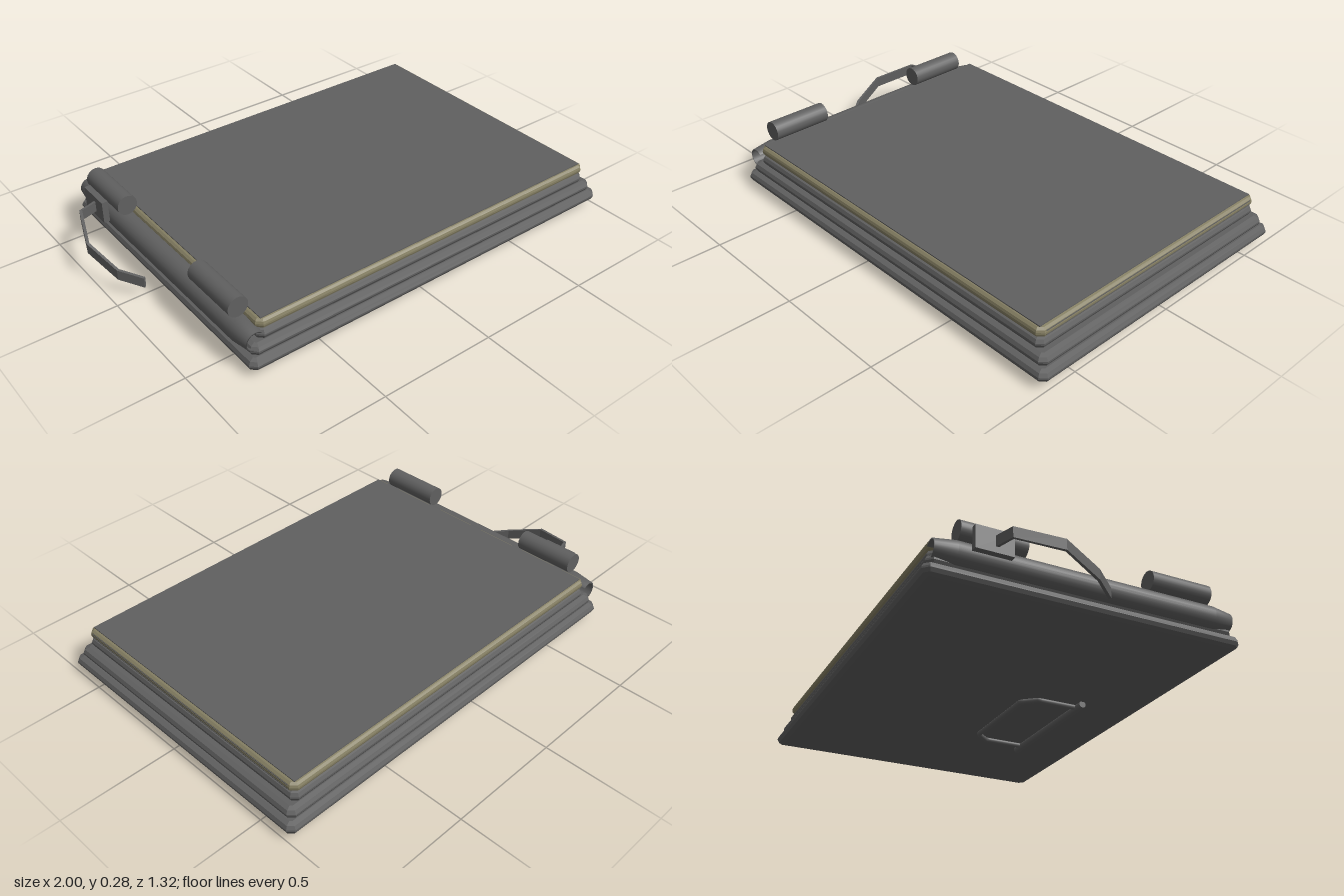
import * as THREE from 'three';

const grey = new THREE.MeshStandardMaterial({ color: 0x606060 });
grey.name = 'leather grey';
grey.side = THREE.DoubleSide;
const olive = new THREE.MeshStandardMaterial({ color: 0x857f63 });
olive.name = 'page olive';

function add(group, name, geometry, material, x = 0, y = 0, z = 0) {
  const mesh = new THREE.Mesh(geometry, material);
  mesh.name = name;
  mesh.position.set(x, y, z);
  group.add(mesh);
  return mesh;
}

// Flat slab with bevelled rim and clipped corners, from y0 to y1
function slab(x0, x1, halfZ, y0, y1, bevel, segments) {
  const cx = (x0 + x1) / 2, w = (x1 - x0) / 2 - bevel, d = halfZ - bevel, c = 0.008;
  const shape = new THREE.Shape([
    [-w + c, -d], [w - c, -d], [w, -d + c], [w, d - c],
    [w - c, d], [-w + c, d], [-w, d - c], [-w, -d + c],
  ].map(([x, y]) => new THREE.Vector2(x, y)));
  const t = (y1 - y0) * 0.42;
  const g = new THREE.ExtrudeGeometry(shape, {
    depth: y1 - y0 - 2 * t, bevelEnabled: true, bevelThickness: t, bevelSize: bevel, bevelSegments: segments,
  });
  return g.rotateX(-Math.PI / 2).translate(cx, y0 + t, 0);
}

// Upright ribbon following [x, y, z] points
function ribbon(points, height, thickness) {
  const pos = [], index = [], n = points.length;
  points.forEach(([x, y, z], i) => {
    const a = points[Math.max(i - 1, 0)], b = points[Math.min(i + 1, n - 1)];
    const dx = b[0] - a[0], dz = b[2] - a[2], l = Math.hypot(dx, dz);
    const nx = (-dz / l) * thickness / 2, nz = (dx / l) * thickness / 2, h = height / 2;
    for (const [s, v] of [[1, -h], [1, h], [-1, h], [-1, -h]]) pos.push(x + s * nx, y + v, z + s * nz);
  });
  for (let i = 0; i < n - 1; i++) {
    for (let k = 0; k < 4; k++) {
      const a = i * 4 + k, b = i * 4 + (k + 1) % 4;
      index.push(a, b, b + 4, a, b + 4, a + 4);
    }
  }
  const e = (n - 1) * 4;
  index.push(0, 2, 1, 0, 3, 2, e, e + 1, e + 2, e, e + 2, e + 3);
  const g = new THREE.BufferGeometry();
  g.setAttribute('position', new THREE.Float32BufferAttribute(pos, 3));
  g.setIndex(index);
  const flat = g.toNonIndexed();
  flat.computeVertexNormals();
  return flat;
}

export function createModel() {
  const model = new THREE.Group();
  model.name = 'album';

  // Stacked slabs, stepping inwards
  add(model, 'baseCover', slab(-0.82, 1.0, 0.66, 0.028, 0.076, 0.026, 2), grey);
  add(model, 'lowerLayer', slab(-0.8, 0.978, 0.64, 0.074, 0.121, 0.026, 2), grey);
  add(model, 'middleLayer', slab(-0.76, 0.942, 0.62, 0.119, 0.166, 0.024, 2), grey);
  add(model, 'pageBlock', slab(-0.76, 0.94, 0.617, 0.164, 0.209, 0.024, 3), olive);
  add(model, 'topCover', new THREE.BoxGeometry(1.66, 0.005, 1.2), grey, 0.09, 0.2095, 0);

  // Dark page lines on the open side
  for (const y of [0.178, 0.187, 0.196]) {
    add(model, 'pageLine', new THREE.BoxGeometry(0.008, 0.003, 1.17), grey, 0.936, y, 0);
  }

  // Hollow spine, open towards the pages, narrowed at both ends
  const profile = [
    [0.036, -0.625], [0.041, -0.625], [0.053, -0.54], [0.053, 0.54],
    [0.041, 0.625], [0.036, 0.625], [0.042, 0.54], [0.042, -0.54], [0.036, -0.625],
  ].map(([r, y]) => new THREE.Vector2(r, y));
  const spine = new THREE.LatheGeometry(profile, 20, Math.PI * 0.75, Math.PI * 1.5);
  spine.rotateX(Math.PI / 2);
  add(model, 'spine', spine, grey, -0.78, 0.14, 0);

  // Hinge barrels
  for (const side of [-1, 1]) {
    const barrel = new THREE.CylinderGeometry(0.043, 0.043, 0.266, 24).rotateX(Math.PI / 2);
    add(model, 'hingeBarrel', barrel, grey, -0.785, 0.236, side * 0.397);
  }

  // Clasp and hanging strap
  add(model, 'claspPlate', new THREE.BoxGeometry(0.026, 0.095, 0.152), grey, -0.847, 0.188, -0.415);
  add(model, 'strap', ribbon([
    [-0.85, 0.187, -0.41], [-0.934, 0.187, -0.383], [-0.994, 0.15, -0.212],
    [-0.952, 0.094, -0.06], [-0.885, 0.076, 0.025],
  ], 0.044, 0.012), grey);

  // Folding stand under the base
  const bar = new THREE.CylinderGeometry(0.015, 0.015, 0.615, 16).rotateZ(Math.PI / 2);
  add(model, 'standBar', bar, grey, 0.2125, 0.016, 0.378);
  const corners = [
    [-0.045, 0.378], [-0.045, 0.19], [0.005, 0.131], [0.42, 0.131], [0.47, 0.19], [0.47, 0.378],
  ].map(([x, z]) => new THREE.Vector3(x, 0.019, z));
  const path = new THREE.CurvePath();
  for (let i = 0; i < corners.length - 1; i++) path.add(new THREE.LineCurve3(corners[i], corners[i + 1]));
  add(model, 'standLoop', new THREE.TubeGeometry(path, 60, 0.011, 10), grey);

  return model;
}
